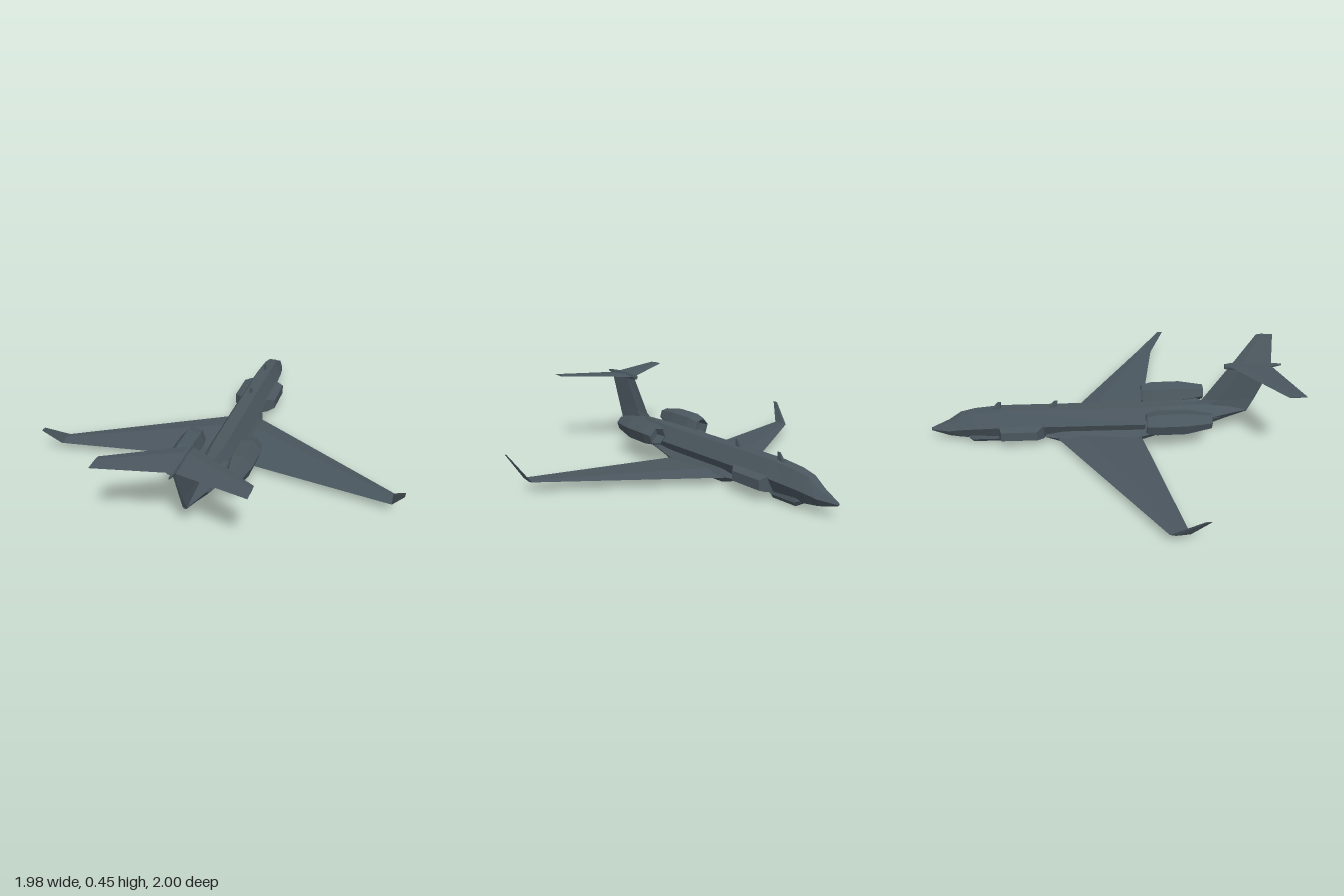
import * as THREE from 'three';

const material = new THREE.MeshStandardMaterial({ color: 0x4a565e, flatShading: true, roughness: 0.8 });

// Closed skin through rings of [x, y, z] points; faces are turned outward by the signed volume
function loft(name, rings) {
  const tris = [], n = rings[0].length;
  for (let r = 0; r < rings.length - 1; r++) {
    for (let i = 0; i < n; i++) {
      const j = (i + 1) % n, a = rings[r], b = rings[r + 1];
      tris.push([a[i], a[j], b[j]], [a[i], b[j], b[i]]);
    }
  }
  const first = rings[0], last = rings[rings.length - 1];
  for (let i = 1; i < n - 1; i++) {
    tris.push([first[0], first[i + 1], first[i]], [last[0], last[i], last[i + 1]]);
  }
  let volume = 0;
  for (const [a, b, c] of tris) {
    volume += new THREE.Vector3(...a).dot(new THREE.Vector3(...b).cross(new THREE.Vector3(...c)));
  }
  if (volume < 0) tris.forEach((t) => t.reverse());
  const geometry = new THREE.BufferGeometry();
  geometry.setAttribute('position', new THREE.Float32BufferAttribute(tris.flat(2), 3));
  geometry.computeVertexNormals();
  const mesh = new THREE.Mesh(geometry, material);
  mesh.name = name;
  return mesh;
}

// Hexagonal hull section: flat top and bottom, widest at yMid
const hullRing = ([z, yLow, yMid, yTop, wide, wTop, wLow]) => [
  [wide, yMid, z], [wTop, yTop, z], [-wTop, yTop, z],
  [-wide, yMid, z], [-wLow, yLow, z], [wLow, yLow, z],
];

// Four-point aerofoil: leading edge, upper, trailing edge, lower
const foilRing = (s, x, y, z0, z1, t, lean = 0) => {
  const zm = z0 + (z1 - z0) * 0.3;
  const dx = Math.sin(lean) * t, dy = Math.cos(lean) * t;
  return [[s * x, y, z0], [s * (x - dx), y + dy, zm], [s * x, y, z1], [s * (x + dx), y - dy, zm]];
};

// Upright section for fin and blade aerials
const finRing = (y, z0, z1, t) => [
  [0, y, z0], [t, y, z0 + (z1 - z0) * 0.3], [t * 0.6, y, z1], [-t * 0.6, y, z1], [-t, y, z0 + (z1 - z0) * 0.3],
];

const nacelleRing = (s, z, y, r, cx = 0.16) => Array.from({ length: 6 }, (_, i) => {
  const a = i * Math.PI / 3 + 0.2;
  return [s * (cx + r * Math.cos(a)), y + r * Math.sin(a), z];
});

export function createModel() {
  const model = new THREE.Group();
  model.name = 'jetAircraft';

  // Fuselage, nose toward -z
  model.add(loft('fuselage', [
    [-1.0, 0.08, 0.087, 0.094, 0.008, 0.004, 0.004],
    [-0.9, 0.055, 0.095, 0.135, 0.045, 0.02, 0.022],
    [-0.83, 0.048, 0.11, 0.182, 0.06, 0.025, 0.03],
    [-0.75, 0.043, 0.12, 0.198, 0.072, 0.032, 0.035],
    [-0.6, 0.04, 0.13, 0.211, 0.082, 0.035, 0.04],
    [0.25, 0.042, 0.13, 0.212, 0.085, 0.035, 0.045],
    [0.56, 0.09, 0.155, 0.212, 0.075, 0.012, 0.035],
    [0.69, 0.13, 0.165, 0.195, 0.042, 0.01, 0.018],
    [0.79, 0.157, 0.166, 0.175, 0.012, 0.006, 0.006],
  ].map(hullRing)));

  // Belly fairing
  model.add(loft('bellyFairing', [
    [-0.36, 0.04, 0.05, 0.07, 0.06, 0.04, 0.04],
    [-0.25, 0.01, 0.05, 0.09, 0.09, 0.06, 0.06],
    [0.17, 0.008, 0.05, 0.09, 0.09, 0.06, 0.06],
    [0.27, 0.035, 0.07, 0.1, 0.085, 0.06, 0.05],
    [0.57, 0.092, 0.11, 0.13, 0.05, 0.04, 0.03],
  ].map(hullRing)));

  // Chin pod
  model.add(loft('chinPod', [
    [-0.79, 0.04, 0.05, 0.08, 0.04, 0.03, 0.03],
    [-0.765, 0.018, 0.04, 0.08, 0.05, 0.04, 0.035],
    [-0.61, 0.018, 0.04, 0.08, 0.05, 0.04, 0.035],
    [-0.59, 0.04, 0.05, 0.08, 0.045, 0.03, 0.03],
  ].map(hullRing)));

  for (const [side, s] of [['left', 1], ['right', -1]]) {
    // Wing with upswept winglet
    model.add(loft(side + 'Wing', [
      foilRing(s, 0.04, 0.045, -0.31, 0.18, 0.02),
      foilRing(s, 0.13, 0.048, -0.255, 0.195, 0.018),
      foilRing(s, 0.93, 0.066, 0.24, 0.338, 0.005, 0.5),
      foilRing(s, 0.99, 0.187, 0.387, 0.42, 0.002, 1.1),
    ]));

    // Engine: hollow intake lip, barrel, hollow exhaust
    model.add(loft(side + 'Engine', [
      nacelleRing(s, 0.26, 0.185, 0.04),
      nacelleRing(s, 0.2, 0.185, 0.05),
      nacelleRing(s, 0.205, 0.185, 0.057),
      nacelleRing(s, 0.26, 0.188, 0.068),
      nacelleRing(s, 0.42, 0.19, 0.068),
      nacelleRing(s, 0.56, 0.194, 0.042),
      nacelleRing(s, 0.56, 0.194, 0.034),
      nacelleRing(s, 0.51, 0.194, 0.03),
    ]));

    // Engine pylon
    model.add(loft(side + 'Pylon', [
      foilRing(s, 0.04, 0.145, 0.27, 0.64, 0.022),
      foilRing(s, 0.075, 0.155, 0.27, 0.61, 0.016),
      foilRing(s, 0.125, 0.18, 0.27, 0.5, 0.012),
    ]));

    // Forward side pod
    const podRing = (x, z0, z1, y0, y1) => [[s * x, y0, z0], [s * x, y1, z0], [s * x, y1, z1], [s * x, y0, z1]];
    model.add(loft(side + 'SidePod', [
      podRing(0.05, -0.62, -0.355, 0.055, 0.14),
      podRing(0.085, -0.612, -0.365, 0.058, 0.14),
      podRing(0.125, -0.6, -0.4, 0.072, 0.125),
    ]));

    // Tailplane half
    model.add(loft(side + 'Tailplane', [
      foilRing(s, 0, 0.441, 0.67, 0.9, 0.009),
      foilRing(s, 0.37, 0.455, 0.9, 0.998, 0.004),
    ]));
  }

  // Fin with dorsal root
  model.add(loft('fin', [
    finRing(0.165, 0.42, 0.79, 0.02),
    finRing(0.235, 0.53, 0.825, 0.012),
    finRing(0.435, 0.665, 0.905, 0.008),
  ]));

  // Bullet fairing at the fin top
  model.add(loft('tailBullet', [
    [0.64, 0.43, 0.443, 0.455, 0.008, 0.004, 0.004],
    [0.67, 0.424, 0.442, 0.459, 0.014, 0.008, 0.008],
    [0.88, 0.428, 0.443, 0.458, 0.012, 0.007, 0.007],
    [0.955, 0.444, 0.448, 0.452, 0.003, 0.002, 0.002],
  ].map(hullRing)));

  // Swept blade aerials on the roof
  for (const z of [-0.34, -0.655]) {
    model.add(loft('bladeAerial', [
      finRing(0.2, z, z + 0.055, 0.006),
      finRing(0.215, z + 0.006, z + 0.052, 0.006),
      finRing(0.25, z + 0.035, z + 0.055, 0.003),
    ]));
  }

  return model;
}
